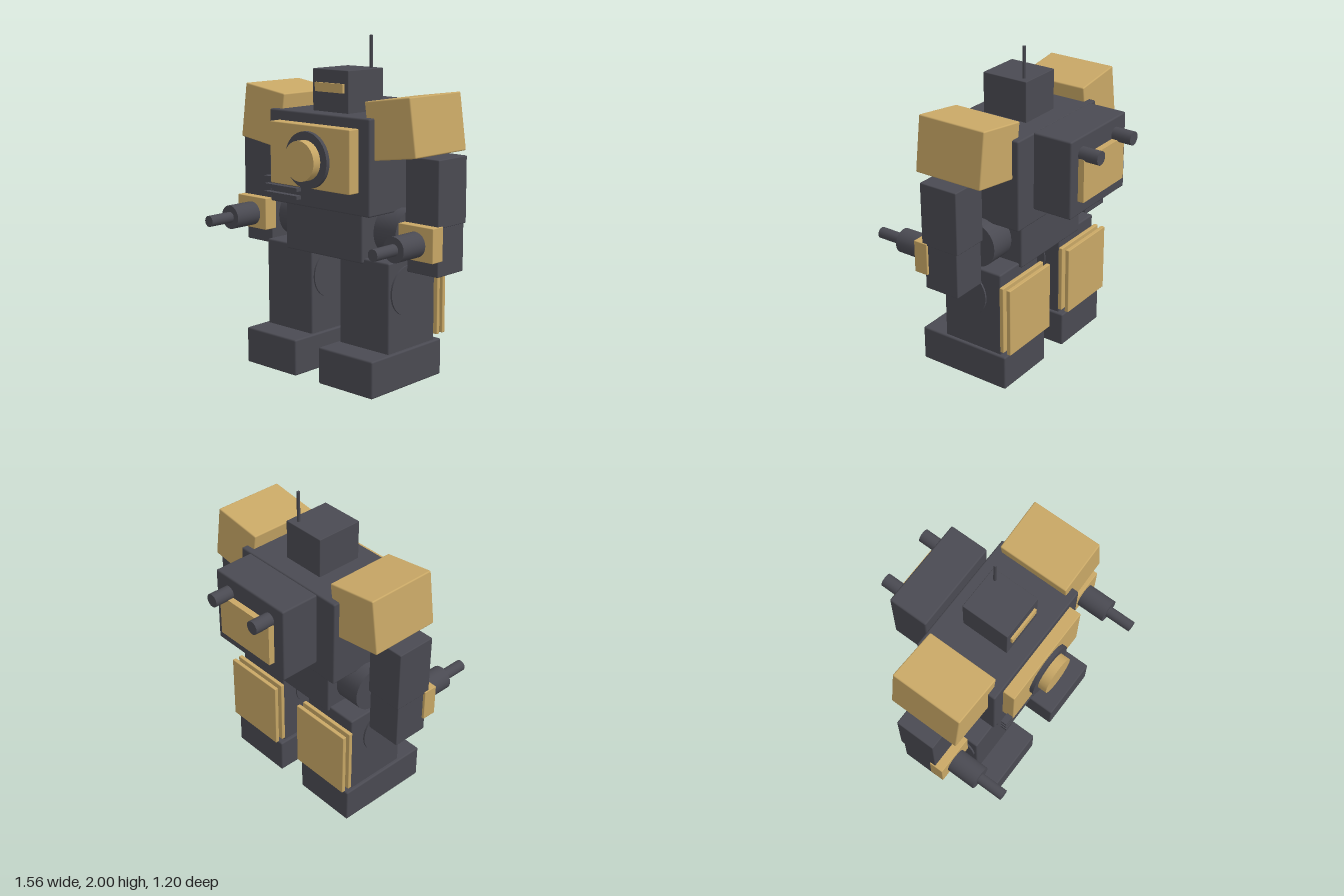
import * as THREE from 'three';
import { RoundedBoxGeometry } from 'three/addons/geometries/RoundedBoxGeometry.js';

const dark = new THREE.MeshStandardMaterial({ color: 0x4a4a52 });
dark.name = 'dark grey armour';
const gold = new THREE.MeshStandardMaterial({ color: 0xc9a866 });
gold.name = 'sand gold armour';

// Box given by its [min, max] range along each axis, with an optional rounded edge
function box(parent, name, mat, [x0, x1], [y0, y1], [z0, z1], bevel = 0.01) {
  const w = x1 - x0, h = y1 - y0, d = z1 - z0;
  const geo = bevel ? new RoundedBoxGeometry(w, h, d, 2, bevel) : new THREE.BoxGeometry(w, h, d);
  const mesh = new THREE.Mesh(geo, mat);
  mesh.name = name;
  mesh.position.set((x0 + x1) / 2, (y0 + y1) / 2, (z0 + z1) / 2);
  parent.add(mesh);
  return mesh;
}

// Cylinder along 'x', 'y' or 'z', centred on c
function rod(parent, name, mat, axis, r, length, c, sides = 24) {
  const geo = new THREE.CylinderGeometry(r, r, length, sides);
  if (axis === 'x') geo.rotateZ(Math.PI / 2);
  if (axis === 'z') geo.rotateX(Math.PI / 2);
  const mesh = new THREE.Mesh(geo, mat);
  mesh.name = name;
  mesh.position.set(...c);
  parent.add(mesh);
  return mesh;
}

function group(parent, name) {
  const g = new THREE.Group();
  g.name = name;
  parent.add(g);
  return g;
}

export function createModel() {
  const model = new THREE.Group();
  model.name = 'robot';

  // Body
  const body = group(model, 'body');
  box(body, 'torso', dark, [-0.395, 0.395], [1.01, 1.565], [-0.2, 0.335]);
  box(body, 'waist', dark, [-0.305, 0.305], [0.725, 1.03], [-0.157, 0.295]);
  box(body, 'chestPlate', gold, [-0.315, 0.315], [1.14, 1.505], [0.33, 0.41], 0.006);
  rod(body, 'chestRing', dark, 'z', 0.165, 0.06, [0, 1.307, 0.405], 32);
  rod(body, 'chestCore', gold, 'z', 0.117, 0.1, [0, 1.307, 0.44], 32);
  for (const y of [1.07, 1.117, 1.164]) {
    box(body, 'chestVent', dark, [-0.375, -0.105], [y - 0.011, y + 0.011], [0.368, 0.406], 0);
  }

  // Head
  const head = group(model, 'head');
  box(head, 'skull', dark, [-0.14, 0.14], [1.56, 1.81], [-0.073, 0.228], 0.004);
  box(head, 'visor', gold, [-0.11, 0.11], [1.68, 1.733], [0.21, 0.243], 0);
  rod(head, 'antenna', dark, 'y', 0.01, 0.22, [0.09, 1.89, -0.025], 12);

  // Backpack
  const pack = group(model, 'backpack');
  box(pack, 'backpackCase', dark, [-0.285, 0.285], [1.12, 1.59], [-0.476, -0.224]);
  box(pack, 'backpackPlate', gold, [-0.21, 0.21], [1.21, 1.47], [-0.514, -0.47], 0);

  for (const s of [1, -1]) {
    const side = s > 0 ? 'left' : 'right';
    const span = (a, b) => (s > 0 ? [a, b] : [-b, -a]);

    rod(pack, side + 'Exhaust', dark, 'z', 0.041, 0.14, [s * 0.173, 1.49, -0.53], 16);

    // Arm with tilted shoulder block and forearm cannon
    const arm = group(model, side + 'Arm');
    const shoulder = box(arm, 'shoulder', gold, span(0.34, 0.67), [1.345, 1.678], [-0.16, 0.29], 0.008);
    shoulder.rotation.z = s * 0.14;
    box(arm, 'upperArm', dark, span(0.54, 0.775), [0.977, 1.36], [-0.058, 0.193], 0.006);
    box(arm, 'forearm', dark, span(0.545, 0.767), [0.7, 0.98], [-0.047, 0.182], 0.006);
    box(arm, 'cuff', gold, span(0.535, 0.782), [0.793, 0.99], [0.157, 0.247], 0.004);
    rod(arm, 'cannon', dark, 'z', 0.073, 0.2, [s * 0.657, 0.885, 0.33]);
    rod(arm, 'barrel', dark, 'z', 0.034, 0.2, [s * 0.657, 0.885, 0.5], 16);

    // Leg with hip joint, knee disc and layered calf plates
    const leg = group(model, side + 'Leg');
    rod(leg, 'hip', dark, 'x', 0.14, 0.2, [s * 0.37, 0.89, 0.055], 28);
    box(leg, 'shin', dark, span(0.115, 0.49), [0.21, 0.752], [-0.138, 0.275]);
    box(leg, 'foot', dark, span(0.095, 0.51), [0, 0.22], [-0.18, 0.438]);
    rod(leg, 'kneeDisc', dark, 'x', 0.148, 0.396, [s * 0.303, 0.57, 0.11], 32);
    for (const z of [-0.157, -0.207]) {
      box(leg, 'calfPlate', gold, span(0.1, 0.507), [0.25, 0.682], [z - 0.013, z + 0.013], 0.004);
    }
  }
  return model;
}
